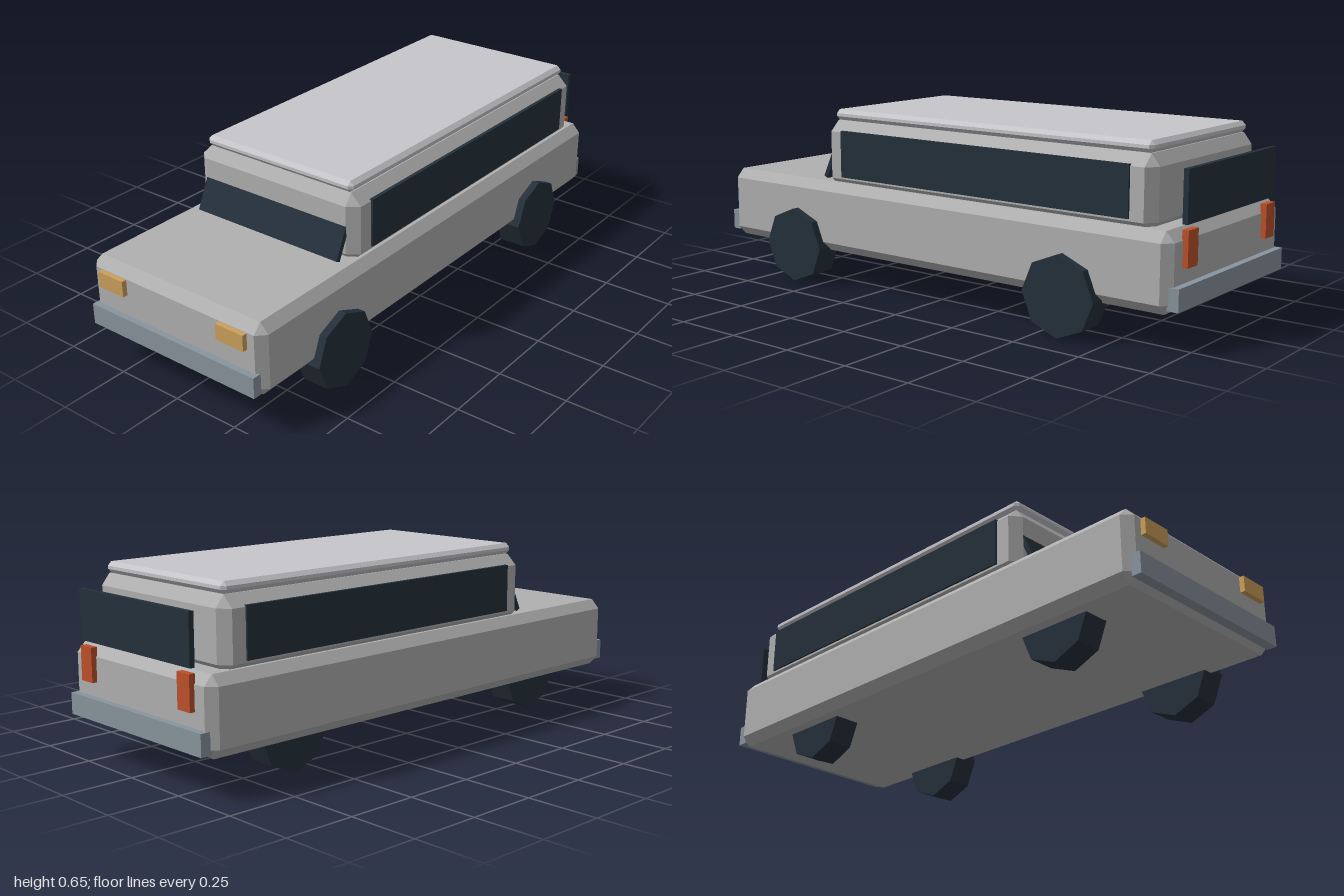
import * as THREE from 'three';
import { ConvexGeometry } from 'three/addons/geometries/ConvexGeometry.js';

function material(name, color) {
  const m = new THREE.MeshStandardMaterial({ color });
  m.name = name;
  return m;
}

// Box given by its [min, max] ranges, with every edge cut by a single flat chamfer.
function chamferBox([x0, x1], [y0, y1], [z0, z1], [bx, by, bz]) {
  const points = [];
  const c = new THREE.Vector3((x0 + x1) / 2, (y0 + y1) / 2, (z0 + z1) / 2);
  const h = new THREE.Vector3((x1 - x0) / 2, (y1 - y0) / 2, (z1 - z0) / 2);
  for (const sx of [-1, 1]) for (const sy of [-1, 1]) for (const sz of [-1, 1]) {
    const add = (x, y, z) => points.push(new THREE.Vector3(c.x + sx * x, c.y + sy * y, c.z + sz * z));
    add(h.x, h.y - by, h.z - bz);
    add(h.x - bx, h.y, h.z - bz);
    add(h.x - bx, h.y - by, h.z);
  }
  return new ConvexGeometry(points);
}

// Plain box given by its [min, max] ranges.
function box([x0, x1], [y0, y1], [z0, z1]) {
  return new THREE.BoxGeometry(x1 - x0, y1 - y0, z1 - z0)
    .translate((x0 + x1) / 2, (y0 + y1) / 2, (z0 + z1) / 2);
}

export function createModel() {
  const car = new THREE.Group();
  car.name = 'car';

  const paint = material('body grey', 0xb0b0b0);
  const roofPaint = material('roof grey', 0xc6c6cb);
  const steel = material('bumper steel', 0x89949d);
  const dark = material('dark glass and rubber', 0x24303a);
  const amber = material('headlight amber', 0xcca05a);
  const red = material('taillight red', 0xbd5029);

  const add = (name, geometry, mat) => {
    const mesh = new THREE.Mesh(geometry, mat);
    mesh.name = name;
    car.add(mesh);
    return mesh;
  };

  // Shell
  add('lowerBody', chamferBox([-0.39, 0.36], [0.13, 0.391], [-0.976, 0.978], [0.031, 0.034, 0.031]), paint);
  add('cabin', chamferBox([-0.36, 0.33], [0.365, 0.615], [-0.896, 0.488], [0.04, 0.039, 0.03]), paint);
  add('roof', chamferBox([-0.33, 0.30], [0.615, 0.654], [-0.874, 0.469], [0.015, 0.014, 0.013]), roofPaint);

  // Bumpers
  add('frontBumper', box([-0.37, 0.34], [0.147, 0.221], [0.965, 1.0]), steel);
  add('rearBumper', box([-0.37, 0.34], [0.147, 0.221], [-1.0, -0.96]), steel);

  // Windscreen, leaning back into the cabin
  const windscreen = add('windscreen',
    new THREE.BoxGeometry(0.612, 0.16, 0.018).translate(0, 0.08, -0.009), dark);
  windscreen.position.set(-0.014, 0.399, 0.538);
  windscreen.rotation.x = -0.44;

  // Side and rear windows
  add('rightWindow', box([-0.367, -0.352], [0.412, 0.582], [-0.815, 0.405]), dark);
  add('leftWindow', box([0.322, 0.337], [0.412, 0.582], [-0.815, 0.405]), dark);
  add('rearWindow', box([-0.312, 0.28], [0.407, 0.578], [-0.99, -0.972]), dark);

  // Lights
  add('rightHeadlight', box([-0.33, -0.219], [0.298, 0.355], [0.97, 0.996]), amber);
  add('leftHeadlight', box([0.188, 0.30], [0.298, 0.355], [0.97, 0.996]), amber);
  add('rightTaillight', box([-0.312, -0.25], [0.272, 0.39], [-0.994, -0.972]), red);
  add('leftTaillight', box([0.217, 0.279], [0.272, 0.39], [-0.994, -0.972]), red);

  // Eight-sided wheels
  const tyre = new THREE.CylinderGeometry(0.138, 0.138, 0.097, 8).rotateZ(Math.PI / 2).toNonIndexed();
  tyre.computeVertexNormals();
  for (const [side, x] of [['right', -0.272], ['left', 0.34]]) {
    for (const [end, z] of [['Front', 0.612], ['Rear', -0.589]]) {
      add(`${side}${end}Wheel`, tyre, dark).position.set(x, 0.14, z);
    }
  }

  return car;
}
